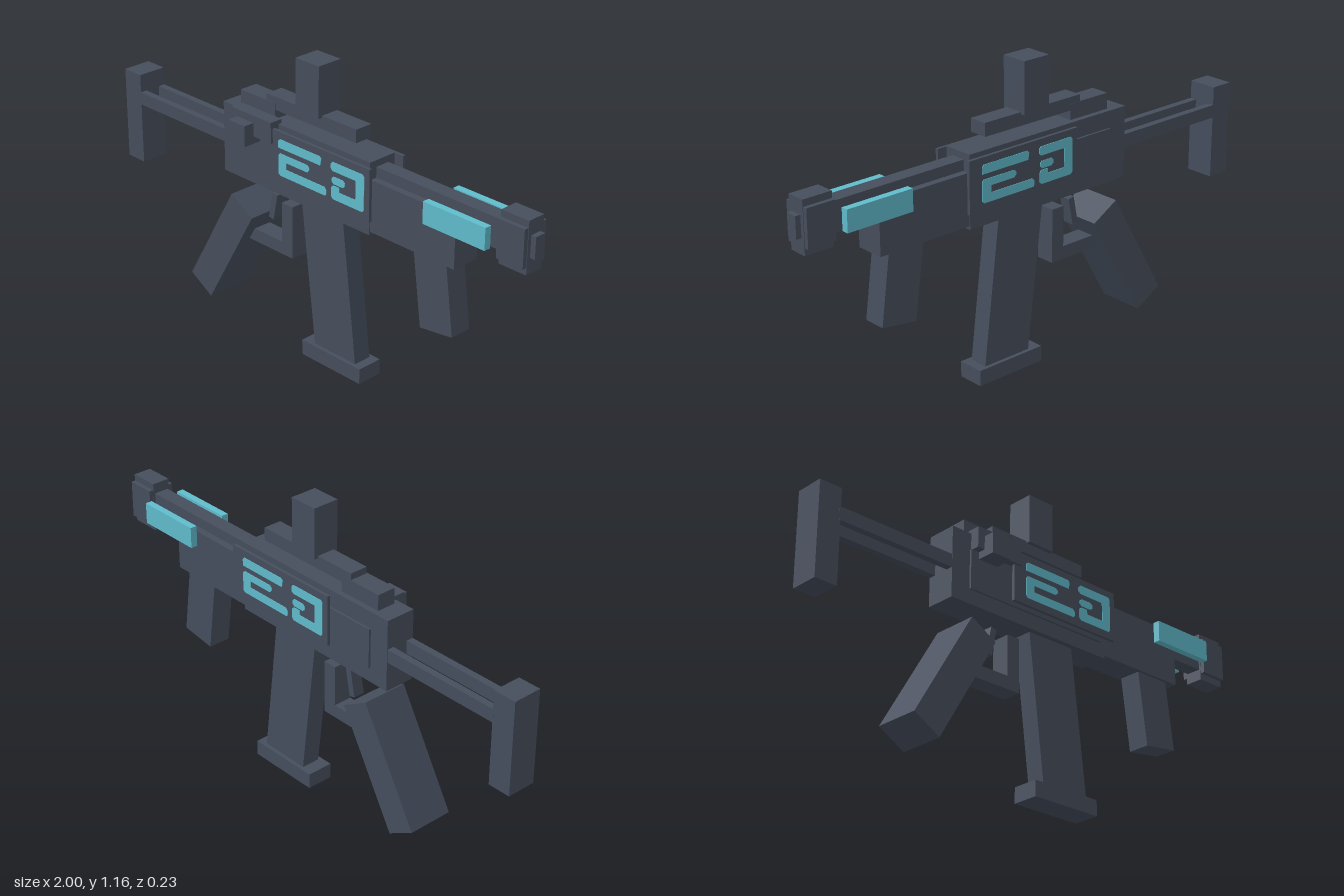
import * as THREE from 'three';

export function createModel() {
  const model = new THREE.Group();
  model.name = 'blasterProp';
  const slate = new THREE.MeshStandardMaterial({ name: 'slate', color: 0x464e5d });
  const teal = new THREE.MeshStandardMaterial({ name: 'teal', color: 0x60bccc });
  const MID = -0.024; // depth of the body's centre plane

  const add = (name, geometry, material = slate, parent = model) => {
    const mesh = new THREE.Mesh(geometry, material);
    mesh.name = name;
    parent.add(mesh);
    return mesh;
  };
  // Box given by its limits on each axis
  const box = (name, [x0, x1], [y0, y1], [z0, z1], material, parent) => {
    const mesh = add(name, new THREE.BoxGeometry(x1 - x0, y1 - y0, z1 - z0), material, parent);
    mesh.position.set((x0 + x1) / 2, (y0 + y1) / 2, (z0 + z1) / 2);
    return mesh;
  };
  // Side outline extruded evenly about the centre plane
  const slab = (name, points, depth) => {
    const shape = new THREE.Shape(points.map(([x, y]) => new THREE.Vector2(x, y)));
    const mesh = add(name, new THREE.ExtrudeGeometry(shape, { depth, bevelEnabled: false }));
    mesh.position.z = MID - depth / 2;
    return mesh;
  };
  const wide = (half) => [MID - half, MID + half];

  // Stock
  box('stockPad', [-1, -0.91], [0.49, 0.85], wide(0.057));
  for (const s of [-1, 1]) {
    const z = MID + s * 0.044;
    box('stockRod', [-0.915, -0.42], [0.73, 0.78], [z - 0.0135, z + 0.0135]);
  }

  // Receiver, handguard and barrel
  box('receiver', [-0.43, 0.31], [0.617, 0.89], wide(0.059));
  box('receiverPanels', [-0.35, 0.285], [0.673, 0.825], wide(0.067));
  box('handguard', [0.3, 0.695], [0.63, 0.825], wide(0.056));
  box('barrel', [0.3, 0.88], [0.755, 0.865], wide(0.029));
  box('muzzleTall', [0.865, 0.98], [0.712, 0.905], wide(0.036));
  box('muzzleWide', [0.867, 0.978], [0.738, 0.88], wide(0.053));
  box('muzzleTip', [0.97, 1], [0.77, 0.85], wide(0.022));

  // Bolt on the front side
  box('boltCover', [-0.345, -0.14], [0.825, 0.905], [0.02, 0.072]);
  box('boltHandle', [-0.315, -0.23], [0.797, 0.877], [0.04, 0.115]);

  // Sight
  box('sightMount', [-0.36, -0.18], [0.88, 0.95], wide(0.037));
  box('sightRail', [-0.225, 0.22], [0.925, 0.975], wide(0.036));
  box('sightPost', [-0.06, 0.055], [0.967, 1.16], wide(0.052));

  // Magazine
  slab('magazine', [[0.023, 0.05], [0.229, 0.05], [0.159, 0.63], [-0.047, 0.63]], 0.074);
  box('magazineBase', [-0.03, 0.265], [0, 0.06], wide(0.052));

  // Foregrip and rear grip
  slab('foregrip', [[0.542, 0.345], [0.687, 0.365], [0.647, 0.66], [0.502, 0.64]], 0.088);
  const grip = add('rearGrip', new THREE.BoxGeometry(0.125, 0.48, 0.18));
  grip.position.set(-0.428, 0.313, MID);
  grip.rotation.z = -Math.PI / 6;

  // Trigger and guard
  slab('triggerGuard', [[-0.34, 0.365], [-0.095, 0.365], [-0.095, 0.572], [-0.15, 0.572],
    [-0.15, 0.415], [-0.34, 0.415]], 0.074);
  const trigger = add('trigger', new THREE.BoxGeometry(0.025, 0.107, 0.045));
  trigger.position.set(-0.212, 0.532, MID);
  trigger.rotation.z = -0.2;

  // Glowing side bars
  for (const s of [-1, 1]) {
    const z = MID + s * 0.0735;
    box('sideBar', [0.578, 0.847], [0.768, 0.85], [z - 0.0135, z + 0.0135], teal);
  }

  // Closed strip outlines with clipped corners, relative to the plate centre
  const strips = [
    [[-0.195, 0.106], [0.015, 0.106], [0.02, 0.132], [0.012, 0.14], [-0.187, 0.14], [-0.195, 0.132]],
    [[-0.195, 0.008], [-0.187, 0], [0.04, 0], [0.045, 0.008], [0.045, 0.022], [0.035, 0.032],
      [-0.155, 0.032], [-0.155, 0.058], [-0.05, 0.058], [-0.04, 0.068], [-0.04, 0.078],
      [-0.05, 0.086], [-0.187, 0.086], [-0.195, 0.078]],
    [[0.07, 0.008], [0.078, 0], [0.218, 0], [0.226, 0.008], [0.226, 0.132], [0.218, 0.14],
      [0.075, 0.14], [0.067, 0.132], [0.067, 0.114], [0.075, 0.106], [0.186, 0.106],
      [0.186, 0.034], [0.108, 0.034], [0.108, 0.052], [0.078, 0.052], [0.07, 0.044]],
    [[0.072, 0.066], [0.08, 0.058], [0.125, 0.058], [0.135, 0.066], [0.135, 0.078],
      [0.125, 0.086], [0.08, 0.086], [0.072, 0.078]],
  ];
  // Display plate with thin inlay, repeated half a turn round for the far side
  for (const turn of [0, Math.PI]) {
    const display = new THREE.Group();
    display.name = 'sideDisplay';
    display.position.set(0.085, 0, MID);
    display.rotation.y = turn;
    box('displayPlate', [-0.25, 0.25], [0.685, 0.88], [0.075, 0.087], slate, display);
    for (const points of strips) {
      const shape = new THREE.Shape(points.map(([x, y]) => new THREE.Vector2(x, y)));
      const strip = add('displayInlay',
        new THREE.ExtrudeGeometry(shape, { depth: 0.003, bevelEnabled: false }), teal, display);
      strip.position.set(0, 0.713, 0.086);
    }
    model.add(display);
  }

  return model;
}
